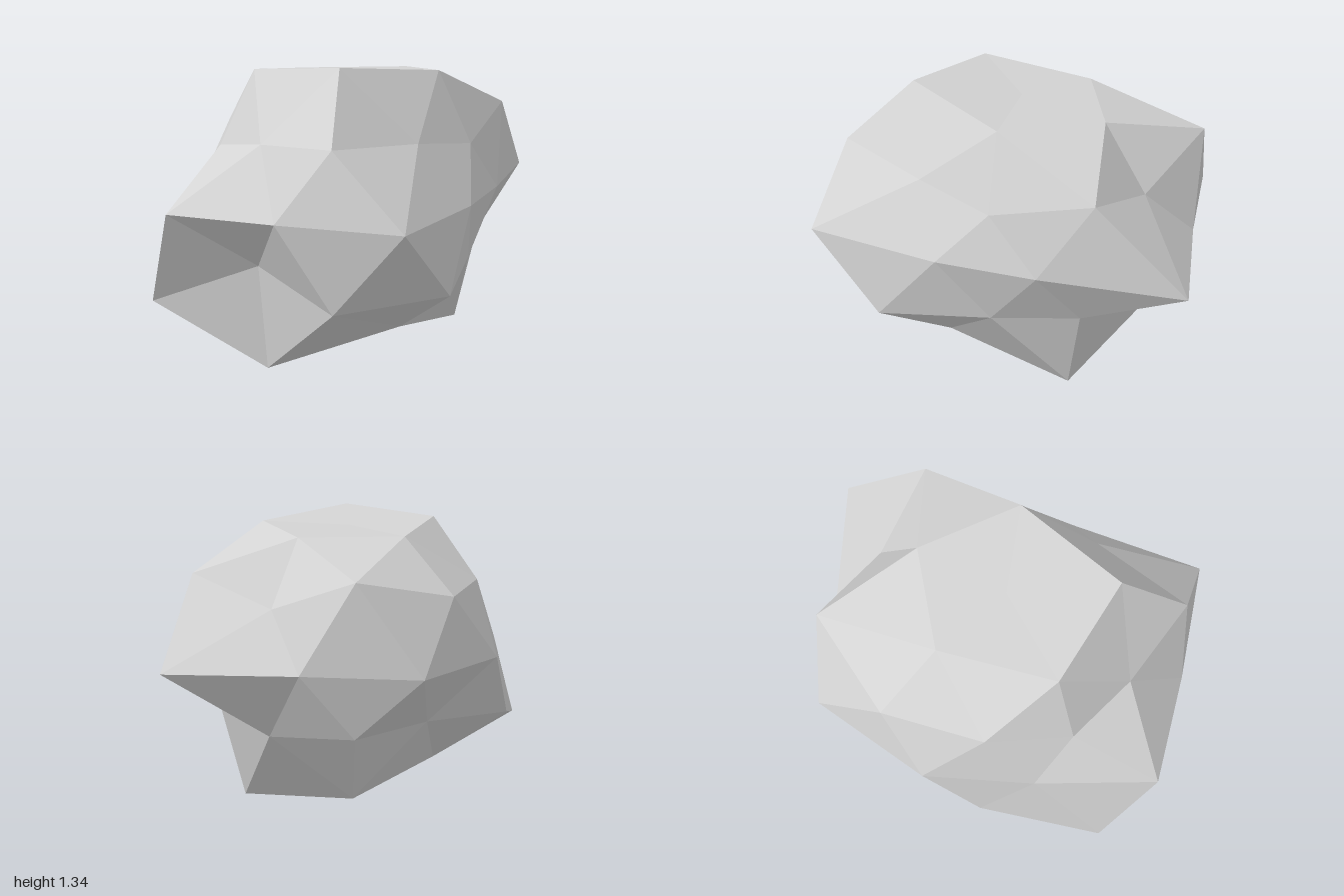
import * as THREE from 'three';

// Rings of a subdivided icosahedron from top to bottom:
// [ring radius, height, first azimuth in degrees, stretch of each vertex]
const RINGS = {
  top: [0, 1, 0, [0.653]],
  cap: [0.5257, 0.8507, 0, [0.742, 0.785, 0.851, 0.798, 0.737]],
  upper: [0.8944, 0.4472, 0, [0.645, 0.63, 0.83, 0.635, 0.79]],
  upperMid: [0.8507, 0.5257, 36, [0.84, 0.64, 0.645, 0.7, 0.895]],
  equator: [1, 0, 18, [0.969, 0.66, 0.67, 0.95, 0.745, 0.863, 0.68, 0.77, 0.877, 0.73]],
  lower: [0.8944, -0.4472, 36, [0.675, 0.88, 0.64, 0.835, 0.76]],
  lowerMid: [0.8507, -0.5257, 0, [0.705, 0.66, 0.86, 1.022, 0.645]],
  base: [0.5257, -0.8507, 36, [0.95, 0.79, 1.002, 0.77, 0.87]],
  bottom: [0, -1, 0, [0.745]],
};
const SCALE = new THREE.Vector3(1.15, 0.85, 1);
const CENTRE = new THREE.Vector3(-0.06, 0.725, 0);

function ringPoints([radius, height, start, stretch]) {
  return stretch.map((r, i) => {
    const a = THREE.MathUtils.degToRad(start + (i * 360) / stretch.length);
    return new THREE.Vector3(radius * Math.cos(a), height, radius * Math.sin(a))
      .multiplyScalar(r).multiply(SCALE);
  });
}

function rockGeometry() {
  const p = {};
  for (const name in RINGS) p[name] = ringPoints(RINGS[name]);
  const at = (name, i) => p[name][(i + p[name].length) % p[name].length];
  const positions = [];

  // Adds one facet, wound so that it faces away from the centre
  const facet = (a, b, c) => {
    const outward = a.dot(b.clone().cross(c)) > 0;
    for (const v of outward ? [a, b, c] : [a, c, b]) {
      positions.push(...v.clone().add(CENTRE).toArray());
    }
  };
  // Splits a large triangle into four; ab, bc and ca are its edge points
  const split = (a, b, c, ab, bc, ca) => {
    facet(a, ab, ca);
    facet(b, bc, ab);
    facet(c, ca, bc);
    facet(ab, bc, ca);
  };

  for (let k = 0; k < 5; k++) {
    const u0 = at('upper', k), u1 = at('upper', k + 1);
    const l0 = at('lower', k - 1), l1 = at('lower', k);
    const um = at('upperMid', k), lm = at('lowerMid', k);
    const q0 = at('equator', 2 * k - 1), q1 = at('equator', 2 * k), q2 = at('equator', 2 * k + 1);
    split(p.top[0], u0, u1, at('cap', k), um, at('cap', k + 1));
    split(u0, u1, l1, um, q2, q1);
    split(l0, l1, u0, lm, q1, q0);
    split(p.bottom[0], l0, l1, at('base', k - 1), lm, at('base', k));
  }

  const geometry = new THREE.BufferGeometry();
  geometry.setAttribute('position', new THREE.Float32BufferAttribute(positions, 3));
  geometry.computeVertexNormals();
  return geometry;
}

export function createModel() {
  const group = new THREE.Group();
  group.name = 'rock';
  const stone = new THREE.MeshStandardMaterial({ color: 0xd3d3d3, flatShading: true });
  stone.name = 'pale stone grey';
  const boulder = new THREE.Mesh(rockGeometry(), stone);
  boulder.name = 'boulder';
  group.add(boulder);
  return group;
}
